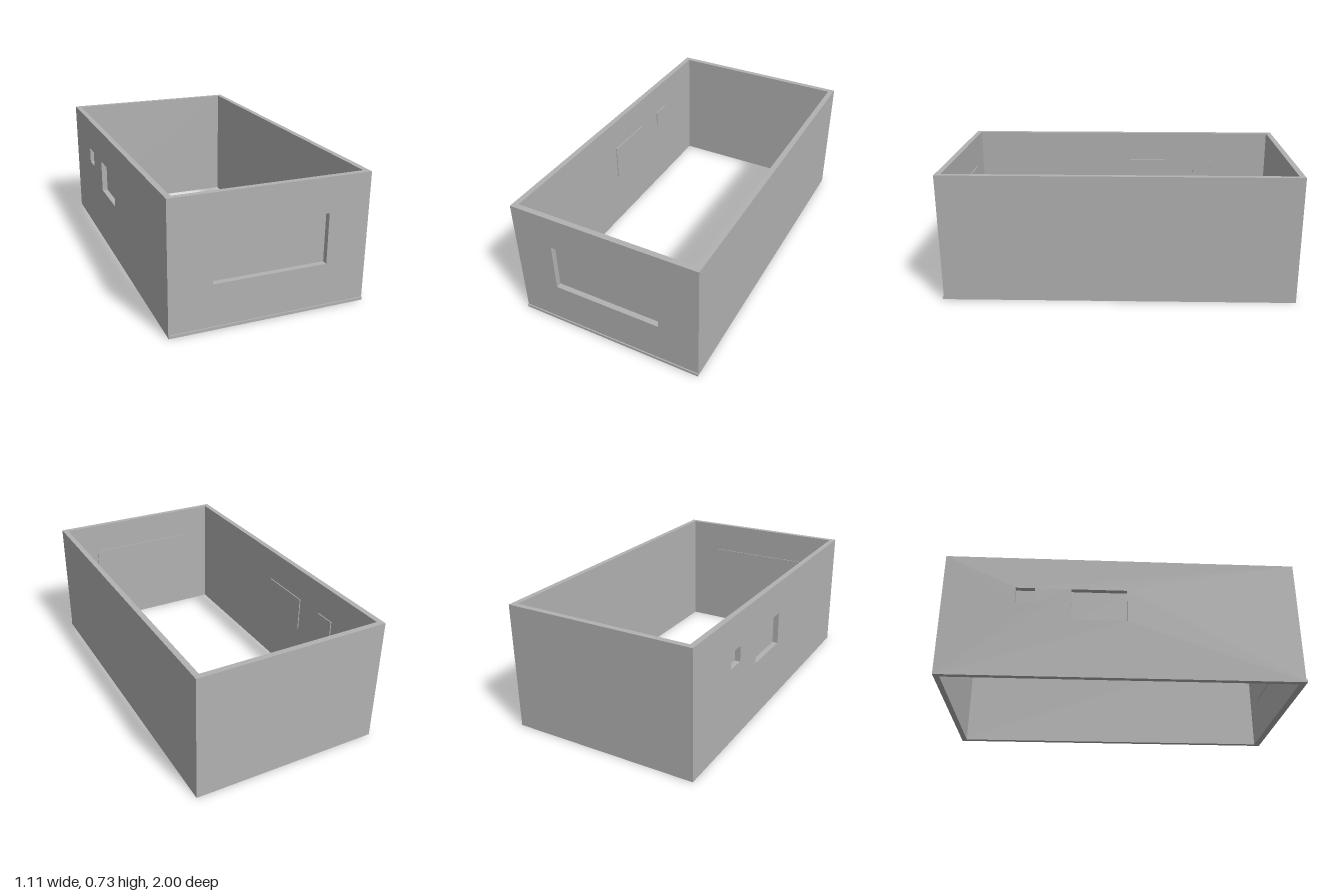
import * as THREE from 'three';

const W = 0.553, H = 0.732, T = 0.032; // half width, wall height, wall thickness
const BACK = -1, FRONT = 0.993;        // outer faces of the end walls
const LIP = 0.008, PANE = 0.006;       // pane overlap and thickness

// Openings as [start, end, bottom, top] along each wall
const frontOpenings = [[-0.319, 0.319, 0.253, 0.537]];
const sideOpenings = [[-0.597, -0.488, 0.444, 0.537], [-0.284, 0.028, 0.345, 0.537]];

function rectangle(path, [a, b, c, d]) {
  path.moveTo(a, c);
  path.lineTo(b, c);
  path.lineTo(b, d);
  path.lineTo(a, d);
  path.closePath();
  return path;
}

// Upright wall with rectangular holes, extruded along +z
function wallGeometry(start, end, openings = []) {
  const shape = rectangle(new THREE.Shape(), [start, end, 0, H]);
  for (const o of openings) shape.holes.push(rectangle(new THREE.Path(), o));
  return new THREE.ExtrudeGeometry(shape, { depth: T, bevelEnabled: false });
}

// Thin sheet slightly larger than its opening
function paneGeometry([a, b, c, d]) {
  return new THREE.BoxGeometry(b - a + 2 * LIP, d - c + 2 * LIP, PANE)
    .translate((a + b) / 2, (c + d) / 2, 0);
}

export function createModel() {
  const model = new THREE.Group();
  model.name = 'roofless building shell';
  const grey = new THREE.MeshStandardMaterial({ color: 0xb2b2b2 });
  grey.name = 'plain grey';

  function add(name, geometry, x, y, z, turn = 0) {
    const mesh = new THREE.Mesh(geometry, grey);
    mesh.name = name;
    mesh.position.set(x, y, z);
    mesh.rotation.y = turn;
    model.add(mesh);
  }

  // End walls fit between the side walls
  const inner = W - T;
  add('frontWall', wallGeometry(-inner, inner, frontOpenings), 0, 0, FRONT - T);
  add('backWall', wallGeometry(-inner, inner), 0, 0, BACK);

  // Side walls: turned so that the shape runs along z and its depth along -x
  const turn = -Math.PI / 2;
  add('leftWall', wallGeometry(BACK, FRONT), W, 0, 0, turn);
  add('rightWall', wallGeometry(BACK, FRONT, sideOpenings), -inner, 0, 0, turn);

  // Window panes on the inner wall faces
  for (const o of frontOpenings) add('frontPane', paneGeometry(o), 0, 0, FRONT - T - PANE / 2);
  for (const o of sideOpenings) add('sidePane', paneGeometry(o), -inner + PANE / 2, 0, 0, turn);

  // Low strip along the foot of the front wall
  const depth = 1 - FRONT;
  add('frontPlinth', new THREE.BoxGeometry(2 * W, 0.016, depth), 0, 0.008, FRONT + depth / 2);

  return model;
}
